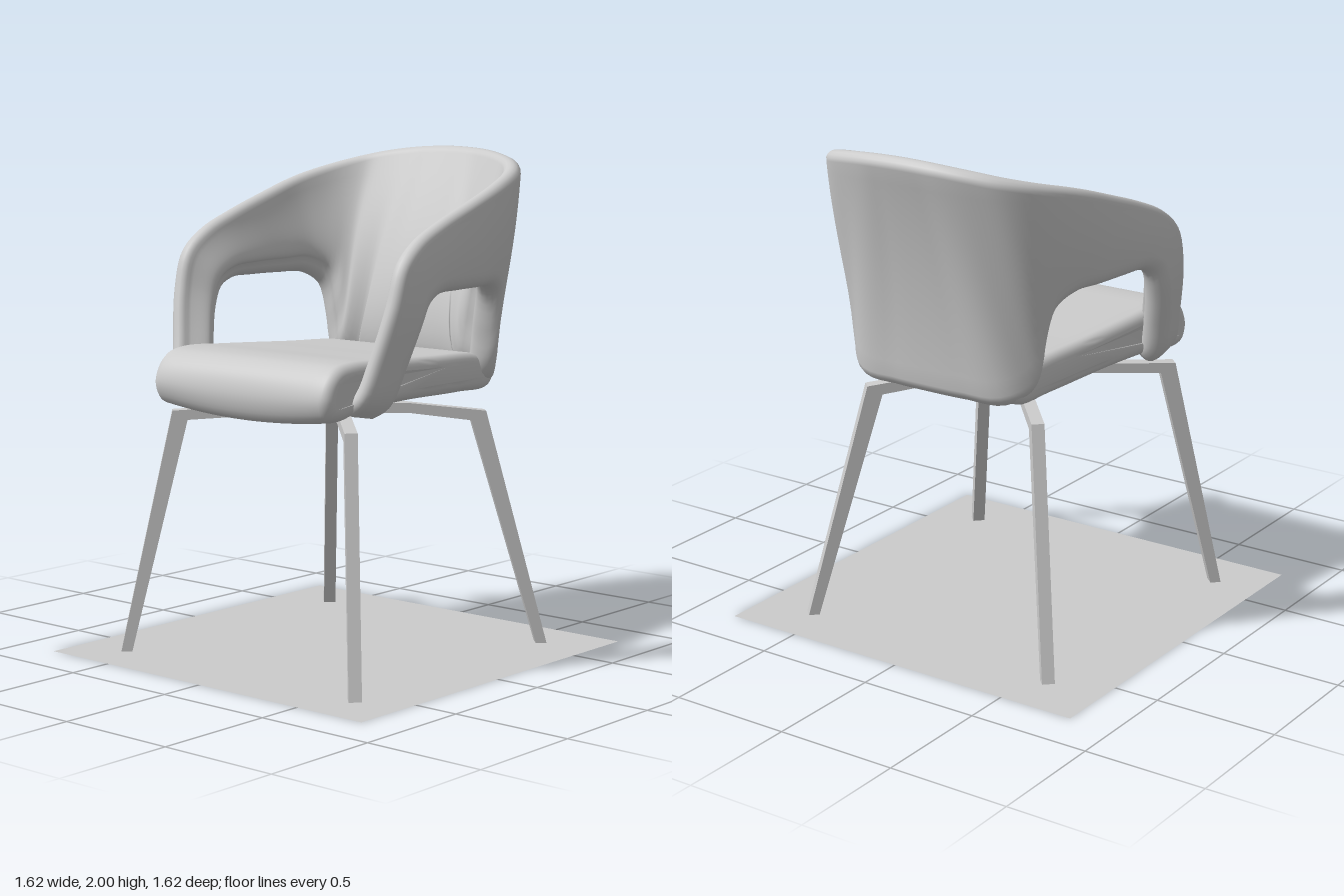
import * as THREE from 'three';
import { mergeVertices, toCreasedNormals } from 'three/addons/utils/BufferGeometryUtils.js';

const material = new THREE.MeshStandardMaterial({ color: 0xcccccc });
const openMaterial = new THREE.MeshStandardMaterial({ color: 0xcccccc, side: THREE.DoubleSide });
const { lerp, smoothstep, degToRad } = THREE.MathUtils;

function part(name, geometry, mat = material) {
  const mesh = new THREE.Mesh(geometry, mat);
  mesh.name = name;
  return mesh;
}

// Joins rings of equal length into a closed-around surface
function loft(rings) {
  const n = rings[0].length, pos = [], index = [];
  rings.forEach(ring => ring.forEach(p => pos.push(p.x, p.y, p.z)));
  for (let i = 0; i < rings.length - 1; i++) {
    for (let j = 0; j < n; j++) {
      const a = i * n + j, b = i * n + (j + 1) % n;
      index.push(a, a + n, b, b, a + n, b + n);
    }
  }
  const g = new THREE.BufferGeometry();
  g.setAttribute('position', new THREE.Float32BufferAttribute(pos, 3));
  g.setIndex(index);
  g.computeVertexNormals();
  return g;
}

// Arms and back: one padded band, from the left arm foot round to the right.
// Each station: lower edge point, upper edge point, outward bulge
function shellGeometry() {
  const half = [
    [[.42, 1.06, .27], [.42, 1.06, .45], 0],
    [[.465, 1.1, .25], [.47, 1.1, .44], .005],
    [[.495, 1.22, .215], [.51, 1.25, .4], .01],
    [[.525, 1.36, .17], [.55, 1.45, .35], .01],
    [[.53, 1.44, .13], [.555, 1.6, .3], .01],
    [[.525, 1.475, .06], [.545, 1.685, .2], .015],
    [[.515, 1.48, -.05], [.535, 1.75, .05], .02],
    [[.5, 1.48, -.2], [.53, 1.815, -.14], .02],
    [[.47, 1.475, -.32], [.515, 1.88, -.34], .02],
    [[.435, 1.42, -.395], [.455, 1.93, -.53], .015],
    [[.41, 1.27, -.415], [.375, 1.96, -.635], .01],
    [[.39, 1.11, -.43], [.275, 1.98, -.69], -.005],
    [[.32, 1.045, -.5], [.17, 1.993, -.72], -.02],
    [[.16, 1.04, -.52], [.085, 1.998, -.73], -.03],
  ];
  const flip = ([x, y, z]) => [-x, y, z];
  const stations = [...half, [[0, 1.04, -.525], [0, 2, -.733], -.03],
    ...half.map(([a, b, m]) => [flip(a), flip(b), m]).reverse()];
  const curve = pick => new THREE.CatmullRomCurve3(stations.map(s => new THREE.Vector3(...pick(s))));
  const lower = curve(s => s[0]), upper = curve(s => s[1]);
  const bulge = u => {
    const t = u * (stations.length - 1), i = Math.min(Math.floor(t), stations.length - 2);
    return lerp(stations[i][2], stations[i + 1][2], t - i);
  };
  const flat = (u, v) => lower.getPoint(u).lerp(upper.getPoint(u), v);
  const e = .006;
  const normal = (u, v) => {
    const du = flat(Math.min(1, u + e), v).sub(flat(Math.max(0, u - e), v));
    return du.cross(flat(u, 1).sub(flat(u, 0))).normalize();
  };
  const SIDE = 14, CAP = 8, STEPS = 130, hLow = .056, hUp = .036, rings = [];
  for (let i = 0; i <= STEPS; i++) {
    const u = i / STEPS, ring = [];
    const along = flat(u, 1).sub(flat(u, 0)), len = along.length();
    along.normalize();
    const put = (v, out, shift) => ring.push(flat(u, v)
      .addScaledVector(normal(u, v), out + bulge(u) * 4 * v * (1 - v))
      .addScaledVector(along, shift));
    const v0 = hLow / len, v1 = 1 - hUp / len;
    // inner padding, deepest low in the back
    const fat = lerp(.035, .075, smoothstep(1 - Math.abs(2 * u - 1), .55, .85));
    const pad = t => fat * Math.sin(Math.PI * Math.sqrt(t));
    // outer side, top rim, inner side, bottom rim
    for (let k = 0; k < SIDE; k++) {
      const t = k / SIDE;
      put(lerp(v0, v1, t), lerp(hLow, hUp, t), 0);
    }
    for (let k = 0; k < CAP; k++) {
      const a = Math.PI * k / CAP;
      put(v1, hUp * Math.cos(a), hUp * Math.sin(a));
    }
    for (let k = 0; k < SIDE; k++) {
      const t = (1 - k / SIDE) ** 1.5;
      put(lerp(v0, v1, t), -lerp(hLow, hUp, t) - pad(t), 0);
    }
    for (let k = 0; k < CAP; k++) {
      const a = Math.PI * k / CAP;
      put(v0, -hLow * Math.cos(a), -hLow * Math.sin(a));
    }
    rings.push(ring);
  }
  // close both feet
  const closed = ring => {
    const c = ring.reduce((s, p) => s.add(p), new THREE.Vector3()).divideScalar(ring.length);
    return ring.map(() => c);
  };
  return loft([closed(rings[0]), ...rings, closed(rings[STEPS])]);
}

// Seat cushion: side profile swept across, tapered to the rear, sagging at the front lip
function seatGeometry() {
  const profile = [[.596, 1.1], [.575, 1.17], [.52, 1.222], [.43, 1.238], [.25, 1.23], [-.1, 1.21],
    [-.42, 1.19], [-.5, 1.16], [-.53, 1.1], [-.5, 1.05], [-.3, 1.045], [.1, 1.055], [.38, 1.045],
    [.5, 1.025], [.565, 1.035]];
  const bevel = .045, width = .83;
  const outline = new THREE.CatmullRomCurve3(
    profile.map(([z, y]) => new THREE.Vector3(-z, y, 0)), true).getPoints(80).slice(0, -1);
  const shape = new THREE.Shape(outline.map(p => new THREE.Vector2(p.x, p.y)));
  const g = new THREE.ExtrudeGeometry(shape, {
    depth: width, steps: 16, bevelEnabled: true, bevelSize: bevel, bevelOffset: -bevel,
    bevelThickness: bevel, bevelSegments: 6,
  });
  g.translate(0, 0, -width / 2).rotateY(Math.PI / 2);
  const p = g.attributes.position;
  for (let i = 0; i < p.count; i++) {
    const x = p.getX(i), y = p.getY(i), z = p.getZ(i);
    const taper = lerp(.84, 1, smoothstep(z, -.6, .45));
    const low = 1 - smoothstep(y, 1.02, 1.18);
    const front = smoothstep(z, .1, .5);
    p.setXYZ(i, x * taper, y - .035 * low * front * Math.max(0, 1 - (x / .46) ** 2), z);
  }
  g.deleteAttribute('uv');
  g.deleteAttribute('normal');
  return toCreasedNormals(mergeVertices(g, 1e-4), 1.3);
}

// One leg: arm from the hub, bend and post, in (radius, height)
function legGeometry(bend, bendY, foot) {
  const pts = [[0, 1], [.28, .998], [bend, bendY], [foot, 0], [foot - .044, 0],
    [bend - .06, bendY - .038], [.28, .958], [0, .962]];
  const shape = new THREE.Shape(pts.map(([r, y]) => new THREE.Vector2(r, y)));
  return new THREE.ExtrudeGeometry(shape, { depth: .05, bevelEnabled: false }).translate(0, 0, -.025);
}

export function createModel() {
  const group = new THREE.Group();
  group.name = 'armchair';
  group.add(part('backAndArms', shellGeometry()), part('seatCushion', seatGeometry()));

  // Swivel hub between legs and seat
  const hub = [[0, .99], [.11, .995], [.13, 1.008], [.13, 1.018], [.09, 1.024], [.09, 1.034],
    [.13, 1.042], [.13, 1.07], [0, 1.07]].map(([r, y]) => new THREE.Vector2(r, y));
  group.add(part('swivelHub', toCreasedNormals(new THREE.LatheGeometry(hub, 40), .5)));

  // Four splayed legs, the rear pair bent closer in
  const legs = [['frontLeftLeg', -45, .663, .978, .877], ['frontRightLeg', -135, .663, .978, .877],
    ['backLeftLeg', 46.5, .595, .962, .852], ['backRightLeg', 133.5, .595, .962, .852]];
  for (const [name, angle, bend, bendY, foot] of legs) {
    const leg = part(name, legGeometry(bend, bendY, foot));
    leg.rotation.y = degToRad(angle);
    group.add(leg);
  }

  // Flat square sheet under the feet
  group.add(part('baseSheet', new THREE.PlaneGeometry(1.625, 1.625).rotateX(-Math.PI / 2), openMaterial));
  return group;
}
